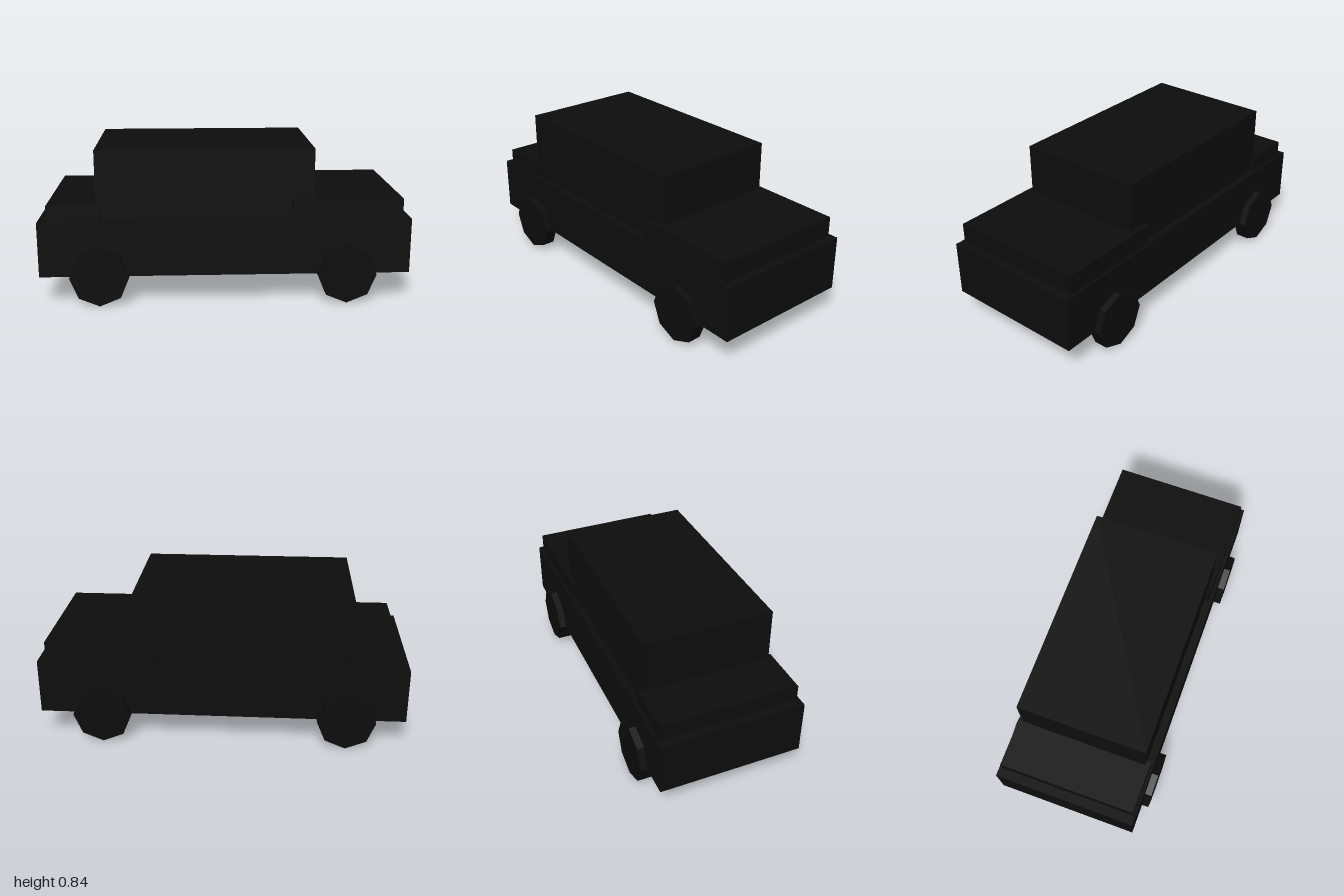
import * as THREE from 'three';

export function createModel() {
  const car = new THREE.Group();
  car.name = 'car';

  const paint = new THREE.MeshStandardMaterial({ color: 0x0d0d0d });
  paint.name = 'black paint';
  const rubber = new THREE.MeshStandardMaterial({ color: 0x0c0c0c, flatShading: true });
  rubber.name = 'black rubber';

  // Box given by its x range, y range and half depth
  function block(name, x0, x1, y0, y1, halfDepth) {
    const mesh = new THREE.Mesh(new THREE.BoxGeometry(x1 - x0, y1 - y0, halfDepth * 2), paint);
    mesh.position.set((x0 + x1) / 2, (y0 + y1) / 2, 0);
    mesh.name = name;
    car.add(mesh);
  }

  block('lowerBody', -1, 1, 0.157, 0.457, 0.392);
  block('cabin', -0.69, 0.475, 0.457, 0.836, 0.35);
  block('hood', 0.36, 0.955, 0.457, 0.565, 0.375);
  block('trunk', -0.95, -0.665, 0.457, 0.545, 0.375);

  // Eight-sided wheels with one corner pointing down
  const radius = 0.159;
  const wheelGeometry = new THREE.CylinderGeometry(radius, radius, 0.074, 8);
  wheelGeometry.rotateX(Math.PI / 2);
  for (const [end, x] of [['front', 0.655], ['rear', -0.677]]) {
    for (const side of [1, -1]) {
      const wheel = new THREE.Mesh(wheelGeometry, rubber);
      wheel.position.set(x, radius, side * 0.392);
      wheel.name = `${end}Wheel${side > 0 ? 'Near' : 'Far'}`;
      car.add(wheel);
    }
  }

  return car;
}
